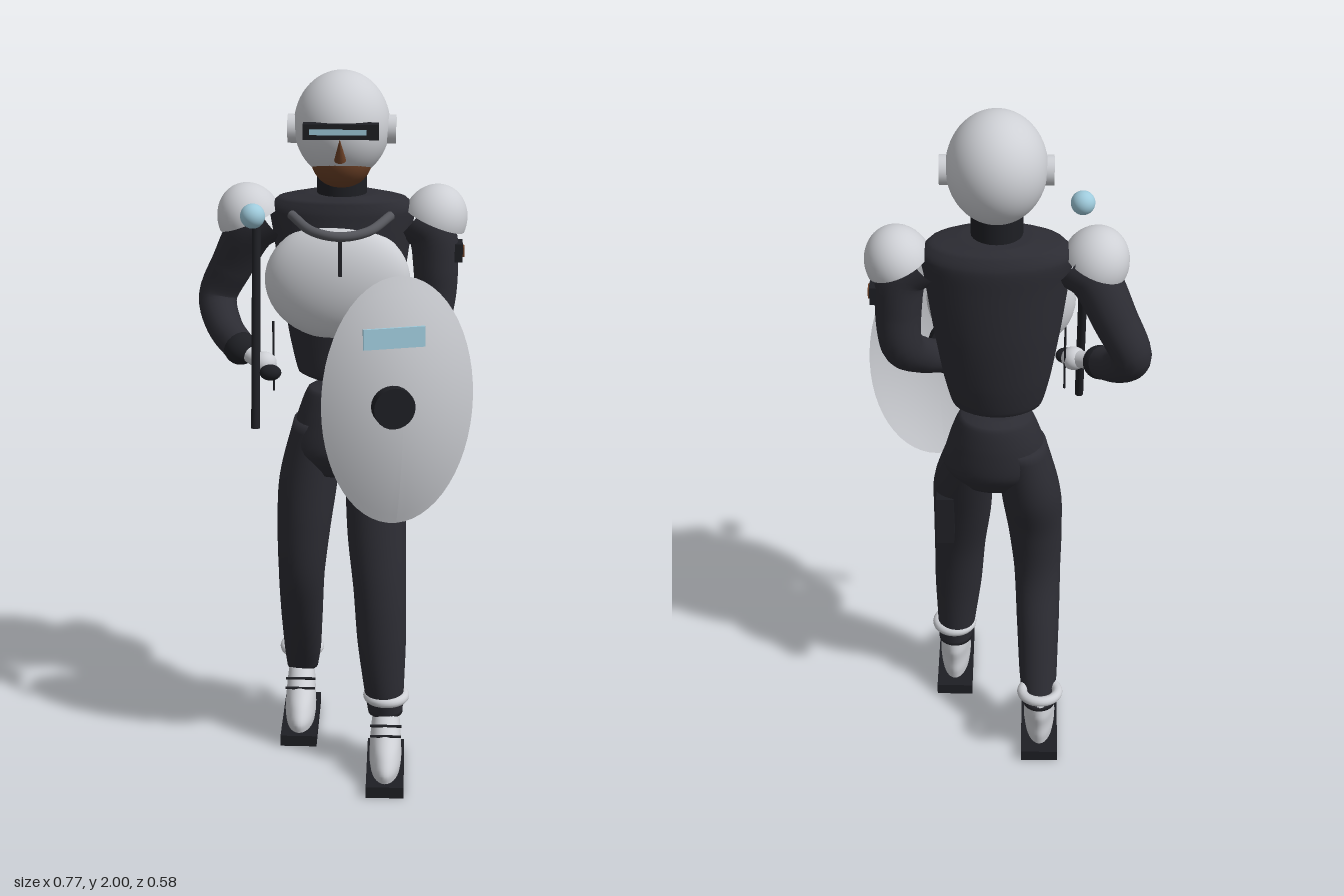
import * as THREE from 'three';

const mat = (name, color, side = THREE.FrontSide) => {
  const m = new THREE.MeshStandardMaterial({ color, side });
  m.name = name;
  return m;
};
const V = (p) => new THREE.Vector3(...p);

// Smooth body through elliptical sections [y, centreX, centreZ, radiusX, radiusZ], any order
function loft(rows, steps = 24, sides = 32) {
  const sorted = [...rows].sort((a, b) => a[0] - b[0]);
  const centres = new THREE.CatmullRomCurve3(sorted.map((r) => V([r[1], r[0], r[2]])));
  const radii = new THREE.CatmullRomCurve3(sorted.map((r) => V([r[3], 0, r[4]])));
  const pos = [], idx = [];
  for (let i = 0; i <= steps; i++) {
    const c = centres.getPoint(i / steps), r = radii.getPoint(i / steps);
    for (let j = 0; j < sides; j++) {
      const a = (j / sides) * Math.PI * 2;
      pos.push(c.x + Math.cos(a) * r.x, c.y, c.z + Math.sin(a) * r.z);
    }
  }
  for (let i = 0; i < steps; i++) for (let j = 0; j < sides; j++) {
    const a = i * sides + j, b = i * sides + (j + 1) % sides;
    idx.push(a, a + sides, b, b, a + sides, b + sides);
  }
  // End caps
  const bottom = pos.length / 3, top = bottom + 1, last = steps * sides;
  pos.push(...centres.getPoint(0).toArray(), ...centres.getPoint(1).toArray());
  for (let j = 0; j < sides; j++) {
    const k = (j + 1) % sides;
    idx.push(bottom, j, k, top, last + k, last + j);
  }
  const g = new THREE.BufferGeometry();
  g.setAttribute('position', new THREE.Float32BufferAttribute(pos, 3));
  g.setIndex(idx);
  g.computeVertexNormals();
  return g;
}

// Tube whose radius changes along its path
function taperedTube(points, r0, r1, n = 28, sides = 20) {
  const curve = new THREE.CatmullRomCurve3(points.map(V));
  const g = new THREE.TubeGeometry(curve, n, 1, sides);
  const p = g.attributes.position, v = new THREE.Vector3();
  for (let i = 0; i <= n; i++) {
    const c = curve.getPointAt(i / n), r = r0 + (r1 - r0) * (i / n);
    for (let j = 0; j <= sides; j++) {
      const k = i * (sides + 1) + j;
      v.fromBufferAttribute(p, k).sub(c).multiplyScalar(r).add(c);
      p.setXYZ(k, v.x, v.y, v.z);
    }
  }
  return g;
}

export function createModel() {
  const root = new THREE.Group();
  root.name = 'shieldGuard';
  const suit = mat('suit dark', 0x2c2c33);
  const black = mat('black', 0x1e1f24);
  const white = mat('armour white', 0xced0d5, THREE.DoubleSide);
  const grey = mat('collar grey', 0x56575d);
  const skin = mat('skin brown', 0x6b4026);
  const blue = mat('light blue', 0x9fcbdc);

  const add = (name, geo, material, p = [0, 0, 0], parent = root) => {
    const m = new THREE.Mesh(geo, material);
    m.name = name;
    m.position.set(...p);
    parent.add(m);
    return m;
  };
  const ball = (name, material, p, r, parent) => {
    const m = add(name, new THREE.SphereGeometry(1, 36, 24), material, p, parent);
    m.scale.set(...r);
    return m;
  };
  const box = (name, material, p, s, parent) => add(name, new THREE.BoxGeometry(...s), material, p, parent);
  const rod = (name, material, a, b, r, parent) => {
    const A = V(a), d = V(b).sub(A);
    const m = add(name, new THREE.CylinderGeometry(r, r, d.length(), 24), material,
      A.clone().addScaledVector(d, 0.5).toArray(), parent);
    m.quaternion.setFromUnitVectors(V([0, 1, 0]), d.normalize());
    return m;
  };

  // Head and helmet
  const helmet = add('helmet', new THREE.SphereGeometry(1, 48, 32, 0, Math.PI * 2, 0, 2.6), white, [0.025, 1.855, -0.066]);
  helmet.scale.set(0.13, 0.146, 0.147);
  helmet.rotation.x = -0.25;
  ball('face', skin, [0.025, 1.772, -0.045], [0.085, 0.085, 0.095]);
  const nose = add('nose', new THREE.ConeGeometry(0.016, 0.07, 12), skin, [0.025, 1.815, 0.088]);
  nose.rotation.x = 0.5;
  box('visor', black, [0.027, 1.862, 0.074], [0.2, 0.04, 0.042]);
  box('visorLight', blue, [0.02, 1.862, 0.097], [0.15, 0.014, 0.006]);
  for (const s of [-1, 1])
    rod('earCover', white, [0.025 + s * 0.11, 1.845, -0.062], [0.025 + s * 0.146, 1.845, -0.062], 0.039);
  rod('neck', black, [0.025, 1.6, -0.07], [0.025, 1.73, -0.07], 0.068);

  // Torso, chest plate and collar
  add('torso', loft([
    [1.14, 0.025, -0.075, 0.085, 0.06], [1.16, 0.025, -0.075, 0.122, 0.088], [1.25, 0.025, -0.082, 0.145, 0.102],
    [1.4, 0.025, -0.085, 0.17, 0.116], [1.55, 0.025, -0.088, 0.19, 0.116], [1.62, 0.025, -0.09, 0.2, 0.113],
    [1.655, 0.025, -0.085, 0.175, 0.1], [1.67, 0.025, -0.08, 0.09, 0.08],
  ], 42), suit);
  ball('chestPlate', white, [0.015, 1.437, -0.01], [0.2, 0.167, 0.088]);
  const collar = [[-0.11, 1.62, -0.005], [-0.05, 1.592, 0.07], [0.025, 1.582, 0.092], [0.1, 1.592, 0.07], [0.16, 1.62, -0.005]];
  add('collar', taperedTube(collar, 0.013, 0.013), grey);
  box('zip', black, [0.025, 1.525, 0.073], [0.01, 0.11, 0.02]).rotation.x = -0.25;
  rod('beltCord', black, [-0.16, 1.13, 0.03], [-0.16, 1.33, 0.03], 0.003);

  // Trousers
  add('hips', loft([
    [1.125, 0.03, -0.07, 0.06, 0.06], [1.11, 0.03, -0.07, 0.1, 0.09], [1.04, 0.03, -0.065, 0.128, 0.107],
    [0.95, 0.03, -0.055, 0.148, 0.114], [0.87, 0.03, -0.045, 0.1, 0.07],
  ]), suit);
  add('leftLeg', loft([
    [1.02, 0.09, -0.06, 0.07, 0.09], [0.85, 0.122, -0.005, 0.085, 0.09], [0.7, 0.13, 0.04, 0.083, 0.08],
    [0.55, 0.14, 0.075, 0.075, 0.07], [0.4, 0.147, 0.091, 0.07, 0.065], [0.25, 0.155, 0.095, 0.058, 0.06],
    [0.17, 0.16, 0.09, 0.05, 0.05],
  ], 36), suit);
  add('rightLeg', loft([
    [1.02, -0.04, -0.07, 0.07, 0.09], [0.85, -0.068, -0.06, 0.084, 0.092], [0.7, -0.082, -0.04, 0.077, 0.076],
    [0.55, -0.09, -0.045, 0.067, 0.067], [0.4, -0.093, -0.098, 0.062, 0.066], [0.25, -0.095, -0.165, 0.055, 0.055],
    [0.17, -0.098, -0.205, 0.047, 0.047],
  ], 36), suit);
  box('thighPouch', black, [0.175, 0.75, -0.062], [0.05, 0.14, 0.07]).rotation.x = 0.15;

  // Feet, built once at the left foot and shifted for the right
  const shoe = loft([
    [0.03, 0, 0.16, 0.042, 0.115], [0.06, 0, 0.16, 0.046, 0.12], [0.1, 0, 0.145, 0.045, 0.105],
    [0.14, 0, 0.115, 0.042, 0.08], [0.185, 0, 0.088, 0.036, 0.045],
  ]);
  for (const [side, x, z, cuffZ, tilt] of [['left', 0.162, 0, 0.095, 0], ['right', -0.1, -0.29, -0.222, 0.1]]) {
    const foot = new THREE.Group();
    foot.name = side + 'Foot';
    foot.position.set(x, 0, z);
    root.add(foot);
    box('sole', black, [0, 0.017, 0.152], [0.108, 0.034, 0.285], foot);
    add('shoe', shoe, white, [0, 0, 0], foot);
    rod('ankle', skin, [0, 0.14, 0.09], [0, 0.2, 0.09], 0.037, foot);
    for (const [y, lz] of [[0.14, 0.19], [0.16, 0.165]])
      rod('lace', black, [-0.045, y, lz], [0.045, y, lz], 0.004, foot);
    const cuff = add('ankleCuff', new THREE.TorusGeometry(0.052, 0.015, 14, 36), white, [x, 0.225, cuffZ]);
    cuff.rotation.x = Math.PI / 2 + tilt;
  }

  // Arms with cuffs, hands and gloves
  const arm = (side, path, hand, glove) => {
    const g = new THREE.Group();
    g.name = side + 'Arm';
    root.add(g);
    const wrist = path[path.length - 1];
    add('sleeve', taperedTube(path, 0.07, 0.045), suit, [0, 0, 0], g);
    ball('cuff', black, wrist, [0.047, 0.047, 0.047], g);
    rod('wrist', white, wrist, hand, 0.024, g);
    ball('hand', white, hand, [0.035, 0.032, 0.035], g);
    ball('glove', black, glove, [0.03, 0.022, 0.024], g);
  };
  arm('right', [[-0.17, 1.6, -0.09], [-0.225, 1.56, -0.1], [-0.285, 1.45, -0.135], [-0.33, 1.35, -0.15],
    [-0.305, 1.28, -0.085], [-0.255, 1.24, -0.01]], [-0.185, 1.215, 0.05], [-0.165, 1.2, 0.088]);
  arm('left', [[0.22, 1.6, -0.09], [0.27, 1.56, -0.09], [0.285, 1.46, -0.09], [0.28, 1.34, -0.085],
    [0.24, 1.26, -0.005], [0.175, 1.2, 0.08]], [0.12, 1.17, 0.14], [0.095, 1.16, 0.175]);

  // Shoulder domes
  for (const s of [-1, 1]) {
    const dome = add(s > 0 ? 'leftShoulderPad' : 'rightShoulderPad',
      new THREE.SphereGeometry(1, 32, 16, 0, Math.PI * 2, 0, Math.PI / 2), white, [0.025 + s * 0.255, 1.592, -0.085]);
    dome.scale.set(0.088, 0.1, 0.098);
    dome.rotation.z = -s * 0.38;
  }

  // Arm badge
  box('armBadge', black, [0.347, 1.505, -0.085], [0.022, 0.05, 0.065]);
  box('badgePlate', skin, [0.36, 1.505, -0.085], [0.006, 0.026, 0.036]);

  // Baton and its separate glowing orb
  rod('baton', black, [-0.205, 1.05, 0.125], [-0.205, 1.62, -0.008], 0.012);
  ball('orb', blue, [-0.203, 1.648, 0.143], [0.033, 0.033, 0.033]);

  // Shield: shallow oval bowl, boss and viewing window
  const shield = new THREE.Group();
  shield.name = 'shield';
  shield.position.set(0.185, 1.15, 0.183);
  shield.rotation.y = 0.27;
  root.add(shield);
  const profile = [];
  for (let i = 0; i <= 12; i++) profile.push(new THREE.Vector2(1 - i / 12, 1 - (1 - i / 12) ** 2));
  const bowl = new THREE.LatheGeometry(profile.reverse(), 56);
  bowl.rotateX(Math.PI / 2);
  bowl.scale(0.212, 0.35, 0.06);
  bowl.computeVertexNormals();
  add('shieldBowl', bowl, white, [0, 0, 0], shield);
  rod('shieldBoss', black, [-0.03, 0.01, 0.035], [-0.03, 0.01, 0.083], 0.057, shield);
  box('shieldWindow', blue, [-0.026, 0.197, 0.053], [0.168, 0.055, 0.009], shield).rotation.x = -0.07;

  return root;
}
